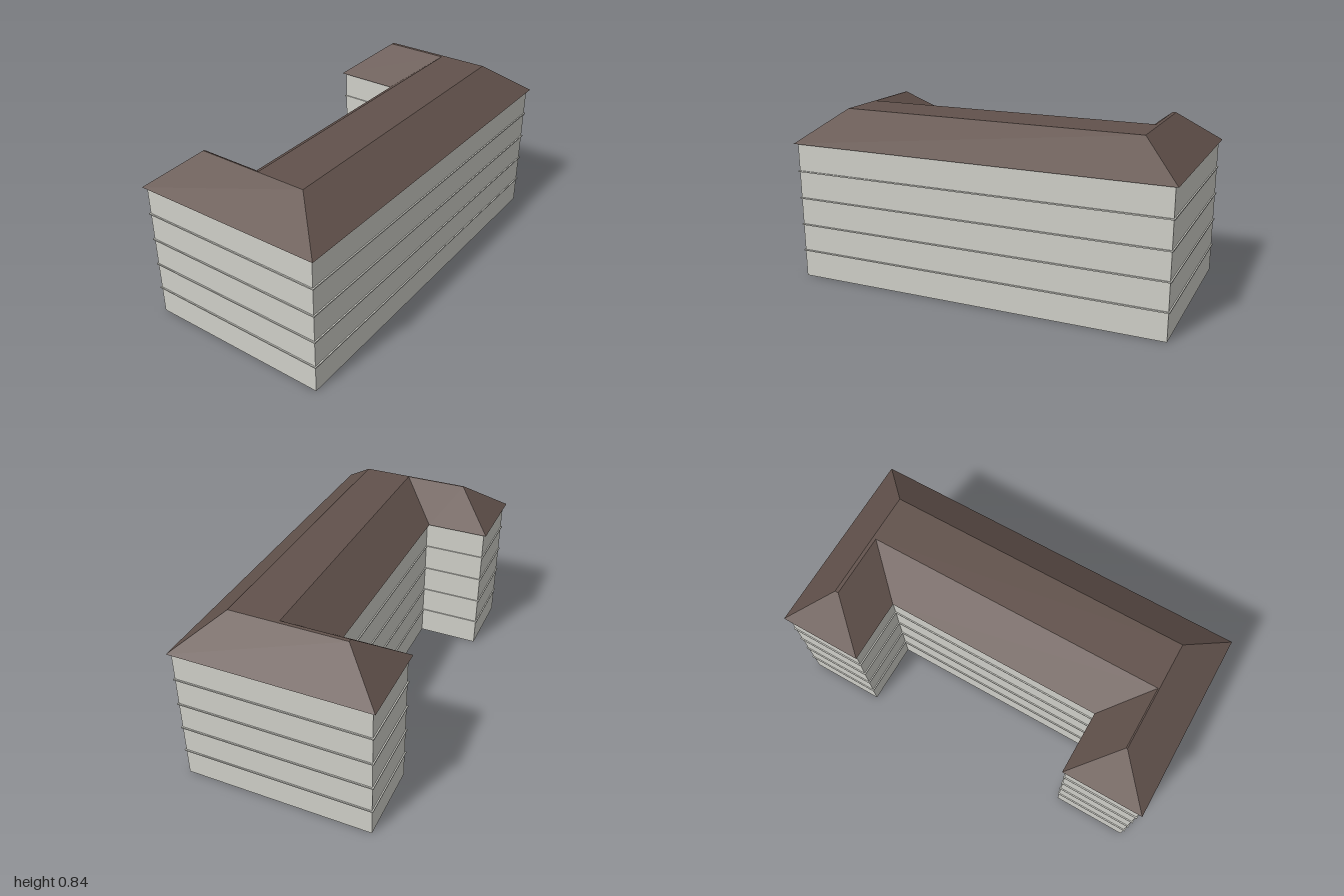
import * as THREE from 'three';

const wallMat = new THREE.MeshStandardMaterial({ color: 0xcfcfc8, side: THREE.DoubleSide });
wallMat.name = 'pale stone';
const roofMat = new THREE.MeshStandardMaterial({ color: 0x62524c, side: THREE.DoubleSide });
roofMat.name = 'brown roof';

// Eave outline of the U-shaped plan as [x, z], counterclockwise from above
const eaves = [
  [-0.945, 0.468], [0.941, 0.468], [0.941, -0.476], [0.534, -0.476],
  [0.534, -0.159], [-0.549, -0.159], [-0.549, -0.467], [-0.945, -0.467],
];

// Move every edge of an outline inward by d
function inset(outline, d) {
  const n = outline.length;
  const inward = (a, b) => [Math.sign(b[1] - a[1]) * d, -Math.sign(b[0] - a[0]) * d];
  return outline.map((p, i) => {
    const u = inward(outline[(i + n - 1) % n], p);
    const v = inward(p, outline[(i + 1) % n]);
    return [p[0] + u[0] + v[0], p[1] + u[1] + v[1]];
  });
}

// Flat-sided skin through a stack of { outline, y } rings
function skin(rings) {
  const pos = [];
  for (let r = 0; r + 1 < rings.length; r++) {
    const lo = rings[r], hi = rings[r + 1], n = lo.outline.length;
    for (let i = 0; i < n; i++) {
      const j = (i + 1) % n;
      const at = (ring, k) => [ring.outline[k][0], ring.y, ring.outline[k][1]];
      pos.push(...at(lo, i), ...at(lo, j), ...at(hi, j), ...at(lo, i), ...at(hi, j), ...at(hi, i));
    }
  }
  const geo = new THREE.BufferGeometry();
  geo.setAttribute('position', new THREE.Float32BufferAttribute(pos, 3));
  geo.computeVertexNormals();
  return geo;
}

// Horizontal sheet filling an outline
function sheet(outline, y) {
  const shape = new THREE.Shape(outline.map(([x, z]) => new THREE.Vector2(x, -z)));
  return new THREE.ShapeGeometry(shape).rotateX(-Math.PI / 2).translate(0, y, 0);
}

export function createModel() {
  const group = new THREE.Group();
  group.name = 'uShapedBuilding';
  const add = (name, geo, mat) => {
    const mesh = new THREE.Mesh(geo, mat);
    mesh.name = name;
    group.add(mesh);
  };

  const wallLine = inset(eaves, 0.015);
  const bandLine = inset(eaves, 0.009);
  const ridgeLine = inset(eaves, 0.195);
  const eaveY = 0.687, ridgeY = 0.843;

  // Walls, open underneath, with a ceiling
  add('walls', skin([{ outline: wallLine, y: 0 }, { outline: wallLine, y: eaveY }]), wallMat);
  add('ceiling', sheet(wallLine, eaveY - 0.004), wallMat);

  // Slim ledges between the five storeys
  for (let i = 1; i <= 4; i++) {
    const y = i * 0.137, h = 0.003;
    add('storeyBand' + i, skin([
      { outline: wallLine, y: y - h }, { outline: bandLine, y: y - h },
      { outline: bandLine, y: y + h }, { outline: wallLine, y: y + h },
    ]), wallMat);
  }

  // Hipped roof with a flat top and overhanging eaves
  add('roofSlopes', skin([{ outline: eaves, y: eaveY }, { outline: ridgeLine, y: ridgeY }]), roofMat);
  add('roofTop', sheet(ridgeLine, ridgeY), roofMat);
  add('roofSoffit', sheet(eaves, eaveY), roofMat);

  // The building stands slightly turned on its plot
  group.rotation.y = 0.1315;
  const root = new THREE.Group();
  root.name = 'building';
  root.add(group);
  return root;
}
